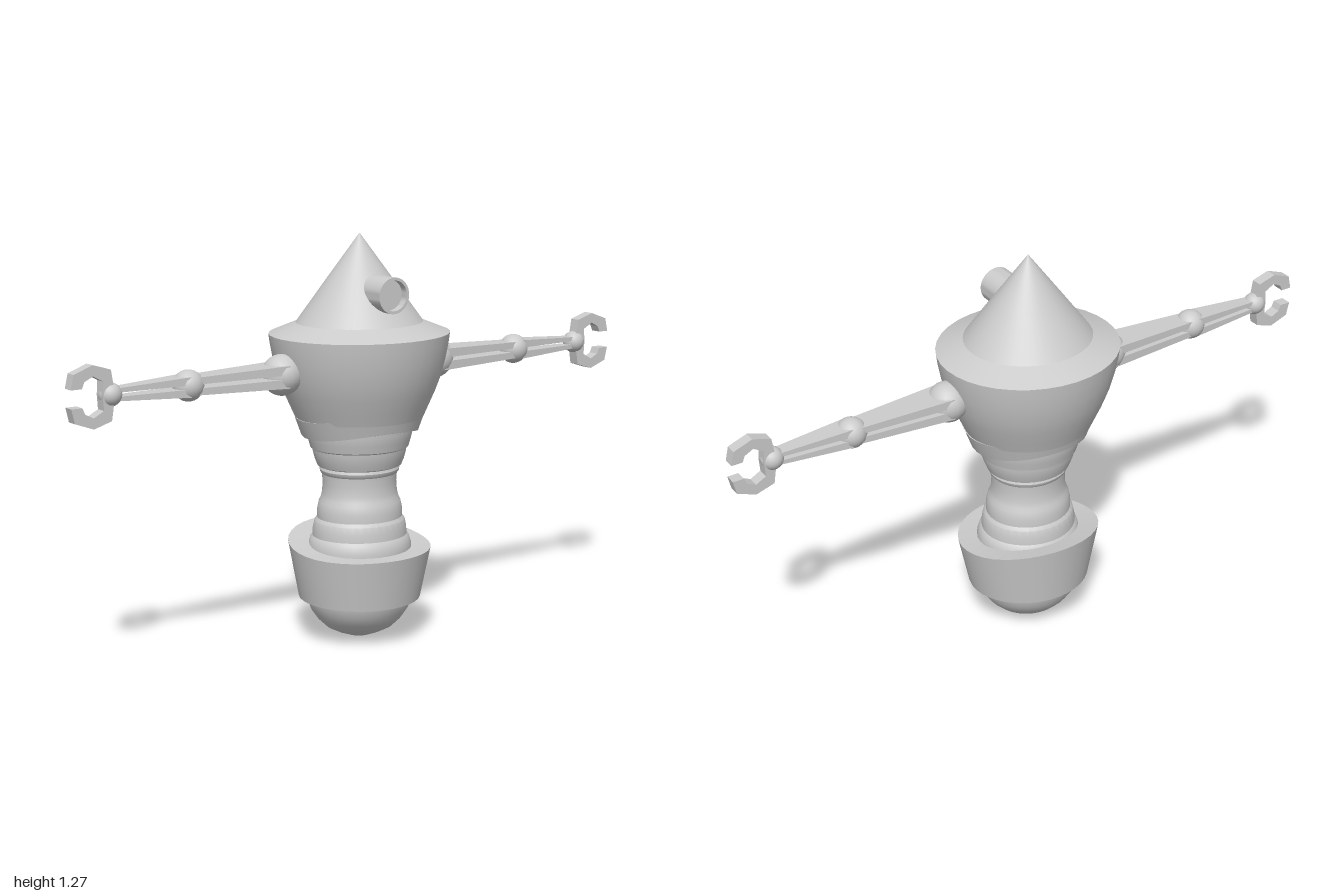
import * as THREE from 'three';
import { toCreasedNormals } from 'three/addons/utils/BufferGeometryUtils.js';

const grey = new THREE.MeshStandardMaterial({ color: 0xcccccc });
const X_STRETCH = 1.075; // the body is slightly oval

function add(parent, name, geometry) {
  const mesh = new THREE.Mesh(geometry, grey);
  mesh.name = name;
  parent.add(mesh);
  return mesh;
}

// Turned part from [radius, height] pairs, bottom to top; rule may bend its vertices
function turned(profile, rule, segments = 36) {
  const geo = new THREE.LatheGeometry(profile.map(([r, y]) => new THREE.Vector2(r, y)), segments);
  if (rule) {
    const p = geo.attributes.position;
    for (let i = 0; i < p.count; i++) p.setY(i, rule(p.getY(i), p.getZ(i)));
  }
  return toCreasedNormals(geo, 0.5);
}

// Bar along x whose height and depth taper from start to end; side +1 is above, -1 below the gap
function taperedBar(x0, x1, h0, h1, d0, d1, side) {
  const geo = new THREE.BoxGeometry(1, 1, 1);
  const p = geo.attributes.position;
  for (let i = 0; i < p.count; i++) {
    const t = p.getX(i) + 0.5;
    const outer = p.getY(i) * side > 0;
    const y = outer ? THREE.MathUtils.lerp(h0, h1, t) : 0.006;
    p.setXYZ(i, THREE.MathUtils.lerp(x0, x1, t), y * side,
      p.getZ(i) * 2 * THREE.MathUtils.lerp(d0, d1, t));
  }
  geo.computeVertexNormals();
  return geo;
}

// Half of the gripper, in outline
function clawGeometry() {
  const outline = [[0.86, 0], [0.9, 0], [0.897, 0.042], [0.93, 0.06], [0.957, 0.046],
    [0.965, 0.027], [1, 0.027], [0.99, 0.07], [0.93, 0.092], [0.872, 0.074]];
  const shape = new THREE.Shape(outline.map(([x, y]) => new THREE.Vector2(x, y)));
  const geo = new THREE.ExtrudeGeometry(shape, { depth: 0.036, bevelEnabled: false });
  return geo.translate(0, 0, -0.018);
}

function createArm(name) {
  const arm = new THREE.Group();
  arm.name = name;
  for (const [joint, x, r] of [['shoulderJoint', 0.285, 0.063], ['elbowJoint', 0.61, 0.047], ['wristJoint', 0.867, 0.035]]) {
    add(arm, joint, new THREE.SphereGeometry(r, 20, 14)).position.x = x;
  }
  for (const side of [1, -1]) {
    add(arm, 'upperArmBar', taperedBar(0.29, 0.6, 0.034, 0.026, 0.054, 0.034, side));
    add(arm, 'forearmBar', taperedBar(0.62, 0.865, 0.03, 0.018, 0.036, 0.019, side));
  }
  const claw = clawGeometry();
  add(arm, 'upperClaw', claw);
  add(arm, 'lowerClaw', claw).rotation.x = Math.PI;
  arm.position.y = 0.86;
  return arm;
}

export function createModel() {
  const model = new THREE.Group();
  model.name = 'robot';

  const body = new THREE.Group();
  body.name = 'body';
  body.scale.x = X_STRETCH;
  model.add(body);

  // Pointed head, sloping shoulder and bowl-shaped chest
  add(body, 'headCone', turned([[0.187, 0.998], [0.094, 1.134], [0, 1.27]], null, 48));
  add(body, 'shoulderSlope', turned([[0.265, 0.966], [0.185, 1.0]]));
  add(body, 'chestShell', turned([[0.14, 0.7], [0.188, 0.704], [0.203, 0.74], [0.222, 0.785],
    [0.238, 0.83], [0.252, 0.885], [0.261, 0.935], [0.265, 0.966]]));

  // Saddle-shaped waist band
  add(body, 'waistBand', turned([[0.14, 0.65], [0.173, 0.65], [0.193, 0.708], [0.16, 0.708]],
    (y, z) => y + 0.85 * z * z));

  // Ribbed flexible trunk, each rib a bulging ring
  add(body, 'ribbedTrunk', turned([
    [0.148, 0.24], [0.153, 0.27], [0.154, 0.3], [0.147, 0.325], [0.14, 0.333],
    [0.139, 0.355], [0.134, 0.38], [0.126, 0.39], [0.126, 0.415], [0.121, 0.44], [0.115, 0.452],
    [0.111, 0.47], [0.109, 0.5], [0.111, 0.528], [0.116, 0.534], [0.118, 0.542], [0.115, 0.55],
    [0.124, 0.554], [0.132, 0.575], [0.138, 0.6], [0.139, 0.608],
    [0.145, 0.612], [0.151, 0.635], [0.157, 0.66], [0.158, 0.71]]));

  // Slanted cuff with a raised back edge
  const cuffTop = z => 0.3 - 0.13 * z + 0.35 * z * z;
  const cuffBottom = z => 0.136 - 0.04 * z;
  add(body, 'cuff', turned([[0.14, 0], [0.181, 0], [0.212, 1], [0.14, 1]],
    (t, z) => THREE.MathUtils.lerp(cuffBottom(z), cuffTop(z), t)));

  // Rounded foot
  add(body, 'foot', turned([[0, 0], [0.035, 0.01], [0.07, 0.024], [0.1, 0.04], [0.125, 0.065],
    [0.145, 0.095], [0.157, 0.13], [0.16, 0.17]]));

  // Hollow-fronted eye tube
  const eye = add(model, 'eyeTube', turned([[0.055, 0], [0.055, 0.18], [0.046, 0.18], [0.046, 0.155], [0, 0.155]]));
  eye.rotation.x = Math.PI / 2;
  eye.position.y = 1.095;

  // Mirrored arms
  const rightArm = createArm('rightArm');
  rightArm.rotation.y = Math.PI;
  model.add(createArm('leftArm'), rightArm);

  return model;
}
